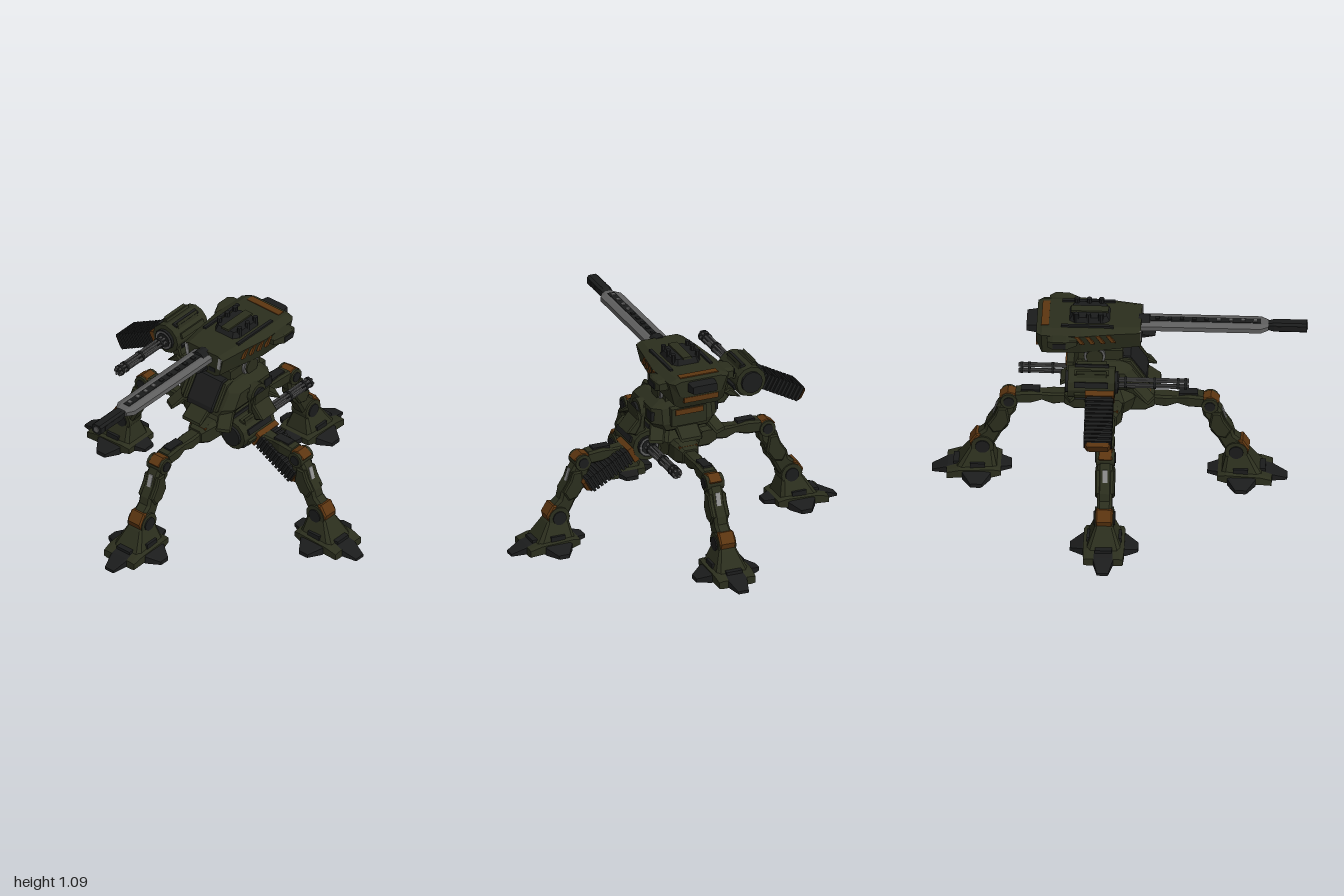
import * as THREE from 'three';

const mat = (color) => new THREE.MeshStandardMaterial({ color, flatShading: true });
const olive = mat(0x2b2e1d), dark = mat(0x1b1c1c), orange = mat(0x5c3510), steel = mat(0x5e5e5e), pale = mat(0x909090);

function add(parent, name, geometry, material, x = 0, y = 0, z = 0) {
  const m = new THREE.Mesh(geometry, material);
  m.name = name;
  m.position.set(x, y, z);
  parent.add(m);
  return m;
}
function group(parent, name, x = 0, y = 0, z = 0) {
  const g = new THREE.Group();
  g.name = name;
  g.position.set(x, y, z);
  parent.add(g);
  return g;
}
const box = (p, name, m, w, h, d, x, y, z) => add(p, name, new THREE.BoxGeometry(w, h, d), m, x, y, z);

// Cylinder lying along the given axis
function cyl(p, name, m, r, len, axis, x, y, z, sides = 16, r2 = r) {
  const c = add(p, name, new THREE.CylinderGeometry(r2, r, len, sides), m, x, y, z);
  if (axis === 'x') c.rotation.z = -Math.PI / 2;
  if (axis === 'z') c.rotation.x = Math.PI / 2;
  return c;
}

// Bevelled plate: outline in x,y, thickness in z; side = true makes the outline z,y instead
function plate(p, name, m, pts, width, x = 0, y = 0, z = 0, side = false, b = 0.008) {
  const g = new THREE.ExtrudeGeometry(new THREE.Shape(pts.map(([u, v]) => new THREE.Vector2(u, v))), {
    depth: width - 2 * b, bevelThickness: b, bevelSize: b, bevelOffset: -b, bevelSegments: 1,
  });
  g.translate(0, 0, b - width / 2);
  if (side) g.rotateY(-Math.PI / 2);
  return add(p, name, g, m, x, y, z);
}

// Chamfered loft along an axis; sections are [t, low, high, halfWidth], k narrows the lower side
function loft(p, name, m, axis, sections, c = 0.3, k = 1, x = 0, y = 0, z = 0) {
  const q = 1 - c;
  const ring = [[q, 1], [-q, 1], [-1, q], [-k, -q], [-k * q, -1], [k * q, -1], [k, -q], [1, q]];
  const pos = [], idx = [], n = ring.length;
  const place = { x: (u, v, t) => [t, v, -u], y: (u, v, t) => [-u, t, v], z: (u, v, t) => [u, v, t] }[axis];
  for (const [t, lo, hi, hw] of sections)
    for (const [u, v] of ring) pos.push(...place(u * hw, (lo + hi) / 2 + v * (hi - lo) / 2, t));
  for (let s = 0; s < sections.length - 1; s++)
    for (let i = 0; i < n; i++) {
      const a = s * n + i, b = s * n + (i + 1) % n;
      idx.push(a, b, b + n, a, b + n, a + n);
    }
  const last = (sections.length - 1) * n;
  for (let i = 1; i < n - 1; i++) idx.push(0, i + 1, i, last, last + i, last + i + 1);
  const g = new THREE.BufferGeometry();
  g.setAttribute('position', new THREE.Float32BufferAttribute(pos, 3));
  g.setIndex(idx);
  const flat = g.toNonIndexed();
  flat.computeVertexNormals();
  return add(p, name, flat, m, x, y, z);
}

// One leg, reaching along +x
function leg(parent, angle) {
  const g = group(parent, 'leg');
  g.rotation.y = angle;
  loft(g, 'hip', olive, 'x', [[0.08, 0.46, 0.57, 0.08], [0.19, 0.455, 0.57, 0.07], [0.24, 0.47, 0.545, 0.045]]);
  box(g, 'hipBand', orange, 0.025, 0.055, 0.105, 0.205, 0.53, 0);
  loft(g, 'thigh', olive, 'x', [[0.22, 0.475, 0.535, 0.035], [0.3, 0.465, 0.535, 0.04], [0.36, 0.485, 0.53, 0.032],
    [0.42, 0.47, 0.545, 0.045], [0.5, 0.465, 0.535, 0.042]]);
  box(g, 'thighPlate', dark, 0.1, 0.015, 0.05, 0.42, 0.542, 0);
  cyl(g, 'knee', olive, 0.045, 0.1, 'z', 0.535, 0.485, 0);
  cyl(g, 'kneeCap', dark, 0.028, 0.112, 'z', 0.535, 0.485, 0);
  plate(g, 'kneeGuard', orange, [[0.5, 0.525], [0.54, 0.537], [0.585, 0.505], [0.575, 0.49], [0.5, 0.51]], 0.08);
  plate(g, 'shin', olive, [[0.49, 0.46], [0.57, 0.49], [0.6, 0.44], [0.615, 0.39], [0.655, 0.33], [0.665, 0.29],
    [0.7, 0.26], [0.72, 0.2], [0.63, 0.17], [0.6, 0.22], [0.575, 0.27], [0.54, 0.31], [0.525, 0.38], [0.5, 0.41]], 0.08, 0, 0, 0, false, 0.014);
  plate(g, 'shinArmour', olive, [[0.53, 0.35], [0.545, 0.44], [0.595, 0.44], [0.612, 0.39], [0.65, 0.33], [0.62, 0.28], [0.57, 0.29]], 0.105);
  const stripe = box(g, 'shinLight', pale, 0.012, 0.075, 0.026, 0.607, 0.41, 0);
  stripe.rotation.z = 0.28;
  plate(g, 'ankleGuard', orange, [[0.685, 0.26], [0.71, 0.265], [0.745, 0.21], [0.735, 0.175], [0.7, 0.18]], 0.092);
  cyl(g, 'ankle', olive, 0.06, 0.1, 'z', 0.675, 0.19, 0, 20);
  cyl(g, 'ankleCap', dark, 0.038, 0.114, 'z', 0.675, 0.19, 0, 20);
  // Foot: sole, tapered shell and four toes
  loft(g, 'ankleMount', olive, 'y', [[0.045, 0.59, 0.83, 0.1], [0.085, 0.6, 0.8, 0.085], [0.17, 0.62, 0.745, 0.05], [0.185, 0.63, 0.73, 0.045]], 0.2);
  loft(g, 'sole', olive, 'x', [[0.575, 0.035, 0.07, 0.1], [0.62, 0.025, 0.085, 0.11], [0.8, 0.018, 0.075, 0.11], [0.865, 0.012, 0.055, 0.105]], 0.2);
  loft(g, 'frontToe', dark, 'x', [[0.8, 0.012, 0.075, 0.06], [0.86, 0.01, 0.06, 0.055], [0.945, 0.004, 0.02, 0.03]], 0.2);
  loft(g, 'heel', dark, 'x', [[0.52, 0.038, 0.06, 0.035], [0.6, 0.03, 0.075, 0.065]], 0.2);
  box(g, 'footVent', dark, 0.03, 0.02, 0.09, 0.815, 0.075, 0);
  for (const s of [-1, 1]) {
    const toe = loft(g, 'sideToe', dark, 'x', [[0.08, 0.015, 0.075, 0.08], [0.115, 0.012, 0.065, 0.075], [0.182, 0.012, 0.035, 0.03]], 0.2, 1, 0.705);
    toe.rotation.y = s * Math.PI / 2;
    box(g, 'footRib', dark, 0.08, 0.03, 0.015, 0.7, 0.09, s * 0.085);
  }
}

// Rotary gun with ribbed ammunition case, firing along +z, case hanging towards -x
function weapon(parent, name, x, y, z, turn) {
  const g = group(parent, name, x, y, z);
  g.rotation.y = turn;
  cyl(g, 'gunHousing', olive, 0.085, 0.25, 'z', 0, 0, 0, 12);
  cyl(g, 'rearCap', dark, 0.06, 0.28, 'z', 0, 0, 0, 12);
  cyl(g, 'muzzleRing', steel, 0.052, 0.275, 'z', 0, 0, 0.004, 20);
  cyl(g, 'muzzlePlate', dark, 0.042, 0.28, 'z', 0, 0, 0.006, 20);
  for (let i = 0; i < 8; i++) {
    const a = i * Math.PI / 4 + Math.PI / 8;
    const rib = box(g, 'housingRib', i % 2 ? dark : olive, 0.03, 0.02, 0.18, Math.cos(a) * 0.085, Math.sin(a) * 0.085, 0);
    rib.rotation.z = a + Math.PI / 2;
  }
  for (const s of [-1, 1]) plate(g, 'housingFin', olive, [[0.02, 0.07], [0.045, 0.1], [0.055, 0.06]].map(([u, v]) => [s * u, v]), 0.16, 0, 0, 0, false, 0.002);
  for (let i = 0; i < 6; i++) {
    const a = i * Math.PI / 3;
    cyl(g, 'barrel', steel, 0.007, 0.4, 'z', Math.cos(a) * 0.021, Math.sin(a) * 0.021, 0.317, 8);
  }
  for (const t of [0.18, 0.335, 0.46, 0.5]) cyl(g, 'barrelClamp', dark, 0.031, 0.014, 'z', 0, 0, t, 12);
  const c = group(g, 'ammunitionCase', -0.05, -0.025, 0.045);
  c.rotation.z = 0.5;
  box(c, 'caseCore', dark, 0.32, 0.07, 0.135, -0.17, 0, 0);
  for (let i = 0; i < 11; i++) box(c, 'caseRib', dark, 0.015, 0.088, 0.15, -0.07 - i * 0.024, 0, 0);
  box(c, 'caseCollar', orange, 0.03, 0.09, 0.155, -0.035, 0, 0);
  loft(c, 'caseEnd', orange, 'x', [[-0.345, -0.03, 0.03, 0.055], [-0.325, -0.04, 0.04, 0.07]], 0.2);
}

export function createModel() {
  const model = new THREE.Group();
  model.name = 'walkerTurret';

  // Pelvis and legs
  const base = group(model, 'base', 0, 0, -0.055);
  loft(base, 'pelvis', olive, 'y', [[0.435, -0.05, 0.05, 0.05], [0.475, -0.12, 0.12, 0.12], [0.56, -0.14, 0.14, 0.14],
    [0.6, -0.11, 0.11, 0.11], [0.64, -0.08, 0.08, 0.08]], 0.4);
  cyl(base, 'waist', dark, 0.1, 0.06, 'y', 0, 0.635, 0);
  for (let i = 0; i < 4; i++) leg(base, i * Math.PI / 2);

  // Torso
  const torso = group(model, 'torso');
  loft(torso, 'hull', olive, 'y', [[0.63, -0.2, 0.1, 0.11], [0.66, -0.25, 0.14, 0.16], [0.7, -0.26, 0.13, 0.19],
    [0.785, -0.245, 0.07, 0.19], [0.82, -0.22, 0.04, 0.13]], 0.25);
  plate(torso, 'frontPanel', dark, [[0, 0.83], [0.06, 0.825], [0.145, 0.7], [0.15, 0.67], [0, 0.67]], 0.18, 0, 0, 0, true);
  for (const s of [-1, 1]) {
    plate(torso, 'panelFrame', olive, [[0, 0.83], [0.065, 0.825], [0.152, 0.69], [0.1, 0.66]], 0.03, s * 0.105, 0, 0, true);
    cyl(torso, 'shoulder', olive, 0.06, 0.04, 'x', s * 0.2, 0.735, -0.08);
    cyl(torso, 'shoulderCap', dark, 0.04, 0.06, 'x', s * 0.205, 0.735, -0.08);
    box(torso, 'sideVent', dark, 0.02, 0.05, 0.06, s * 0.185, 0.74, -0.19);
  }
  for (const e of [1, -1]) {
    const side = group(torso, e > 0 ? 'frontSkirt' : 'rearSkirt', 0, 0, -0.05);
    side.rotation.y = e > 0 ? 0 : Math.PI;
    const flap = [[0.1, 0.7], [0.18, 0.69], [0.265, 0.625], [0.268, 0.608], [0.18, 0.645], [0.1, 0.65]];
    plate(side, 'centreFlap', olive, flap, 0.13, 0, 0, 0, true);
    for (const s of [-1, 1]) {
      const f = plate(side, 'cornerFlap', olive, flap, 0.085, s * 0.06, 0, -0.01, true);
      f.rotation.y = s * 0.5;
    }
  }
  box(torso, 'backPack', olive, 0.2, 0.1, 0.05, 0, 0.74, -0.255);
  box(torso, 'backStripe', orange, 0.16, 0.03, 0.01, 0, 0.77, -0.282);

  // Arms and their guns
  plate(model, 'rightUpperArm', olive, [[-0.19, 0.7], [-0.27, 0.7], [-0.31, 0.745], [-0.36, 0.8], [-0.33, 0.86],
    [-0.29, 0.83], [-0.275, 0.785], [-0.19, 0.785]], 0.11, 0, 0, -0.08);
  plate(model, 'rightElbowGuard', olive, [[-0.365, 0.72], [-0.3, 0.785], [-0.265, 0.765], [-0.29, 0.74]], 0.13, 0, 0, -0.08);
  weapon(model, 'rightGun', -0.37, 0.86, -0.135, 0);
  plate(model, 'leftUpperArm', olive, [[0.19, 0.78], [0.225, 0.73], [0.23, 0.68], [0.26, 0.62], [0.2, 0.55], [0.15, 0.57], [0.19, 0.64]], 0.11, 0, 0, -0.08);
  plate(model, 'leftElbowGuard', olive, [[0.21, 0.72], [0.25, 0.77], [0.24, 0.7], [0.3, 0.63], [0.25, 0.61], [0.22, 0.66]], 0.13, 0, 0, -0.08);
  weapon(model, 'leftGun', 0.185, 0.545, -0.03, Math.PI);

  // Turret neck and head
  const head = group(model, 'turret');
  box(head, 'neck', olive, 0.22, 0.07, 0.24, 0, 0.845, -0.1);
  cyl(head, 'pivot', steel, 0.058, 0.25, 'x', 0, 0.85, -0.13, 20);
  cyl(head, 'pivotCap', olive, 0.045, 0.27, 'x', 0, 0.85, -0.13, 20);
  loft(head, 'housing', olive, 'z', [[-0.44, 0.93, 1.025, 0.15], [-0.41, 0.86, 1.035, 0.175], [-0.2, 0.865, 1.035, 0.18],
    [-0.02, 0.885, 1.035, 0.155], [0.115, 0.895, 1.03, 0.135]], 0.25, 0.82);
  loft(head, 'rearBlock', dark, 'z', [[-0.495, 0.965, 1.01, 0.07], [-0.42, 0.955, 1.02, 0.08]], 0.2);
  box(head, 'rearTopStripe', orange, 0.22, 0.012, 0.04, 0, 1.033, -0.395);
  box(head, 'rearLowStripe', orange, 0.2, 0.03, 0.015, 0, 0.915, -0.436);
  loft(head, 'cupola', dark, 'y', [[1.03, -0.27, -0.05, 0.085], [1.065, -0.25, -0.07, 0.075]], 0.3);
  box(head, 'roofLine', olive, 0.05, 0.012, 0.2, 0, 1.068, -0.16);
  for (const s of [-1, 1]) {
    loft(head, 'sidePod', olive, 'z', [[-0.38, 0.965, 1.005, 0.03], [-0.35, 0.955, 1.015, 0.045], [-0.28, 0.955, 1.015, 0.045], [-0.22, 0.97, 1.0, 0.02]], 0.2, 1, s * 0.185);
    box(head, 'podEnd', dark, 0.02, 0.03, 0.07, s * 0.225, 0.985, -0.315);
    for (const z of [-0.23, -0.165, -0.1]) cyl(head, 'roofPost', dark, 0.014, 0.06, 'y', s * 0.07, 1.06, z, 8);
    box(head, 'roofRail', dark, 0.018, 0.02, 0.28, s * 0.115, 1.035, -0.17);
    // Slanted warning stripes along the flank
    for (let i = 0; i < 5; i++) {
      const z = -0.04 - i * 0.055;
      const hw = z > -0.2 ? 0.155 + (-0.02 - z) * 0.139 : 0.179;
      plate(head, 'warningStripe', orange, [[z, 0.965], [z + 0.022, 0.965], [z - 0.008, 1.012], [z - 0.03, 1.012]], 0.014, s * (hw - 0.002), 0, 0, true, 0.001);
    }
    const bar = box(head, 'frontLight', pale, 0.02, 0.07, 0.012, s * 0.112, 0.985, 0.113);
    bar.rotation.z = -s * 0.15;
  }
  for (const x of [-0.06, 0, 0.06]) box(head, 'frontPort', dark, 0.04, 0.025, 0.012, x, 0.93, 0.113);
  plate(head, 'chin', dark, [[0.08, 0.935], [0.19, 0.925], [0.08, 0.9]], 0.06, 0, 0, 0, true, 0.003);

  // Main cannon
  const gun = group(head, 'cannon', 0, 0.992, 0);
  cyl(gun, 'cannonRoot', dark, 0.045, 0.06, 'z', 0, 0, 0.13, 12);
  loft(gun, 'cannonJacket', steel, 'z', [[0.1, -0.024, 0.024, 0.062], [0.75, -0.024, 0.024, 0.06], [0.79, -0.02, 0.02, 0.035]], 0.45);
  box(gun, 'cannonSpine', dark, 0.04, 0.008, 0.64, 0, 0.023, 0.43);
  box(gun, 'cannonKeel', dark, 0.04, 0.008, 0.64, 0, -0.023, 0.43);
  for (let i = 0; i < 9; i++) box(gun, 'coolingSlot', i < 5 ? dark : steel, 0.022, 0.014, 0.022, 0, 0.026, 0.2 + i * 0.065);
  loft(gun, 'muzzleBrake', dark, 'z', [[0.77, -0.015, 0.015, 0.022], [0.82, -0.028, 0.028, 0.032], [0.995, -0.028, 0.028, 0.032]], 0.4);
  for (const z of [0.85, 0.9, 0.95]) box(gun, 'brakeRing', dark, 0.068, 0.03, 0.022, 0, 0, z);
  cyl(gun, 'bore', steel, 0.018, 0.02, 'z', 0, 0, 0.99, 12);
  return model;
}
